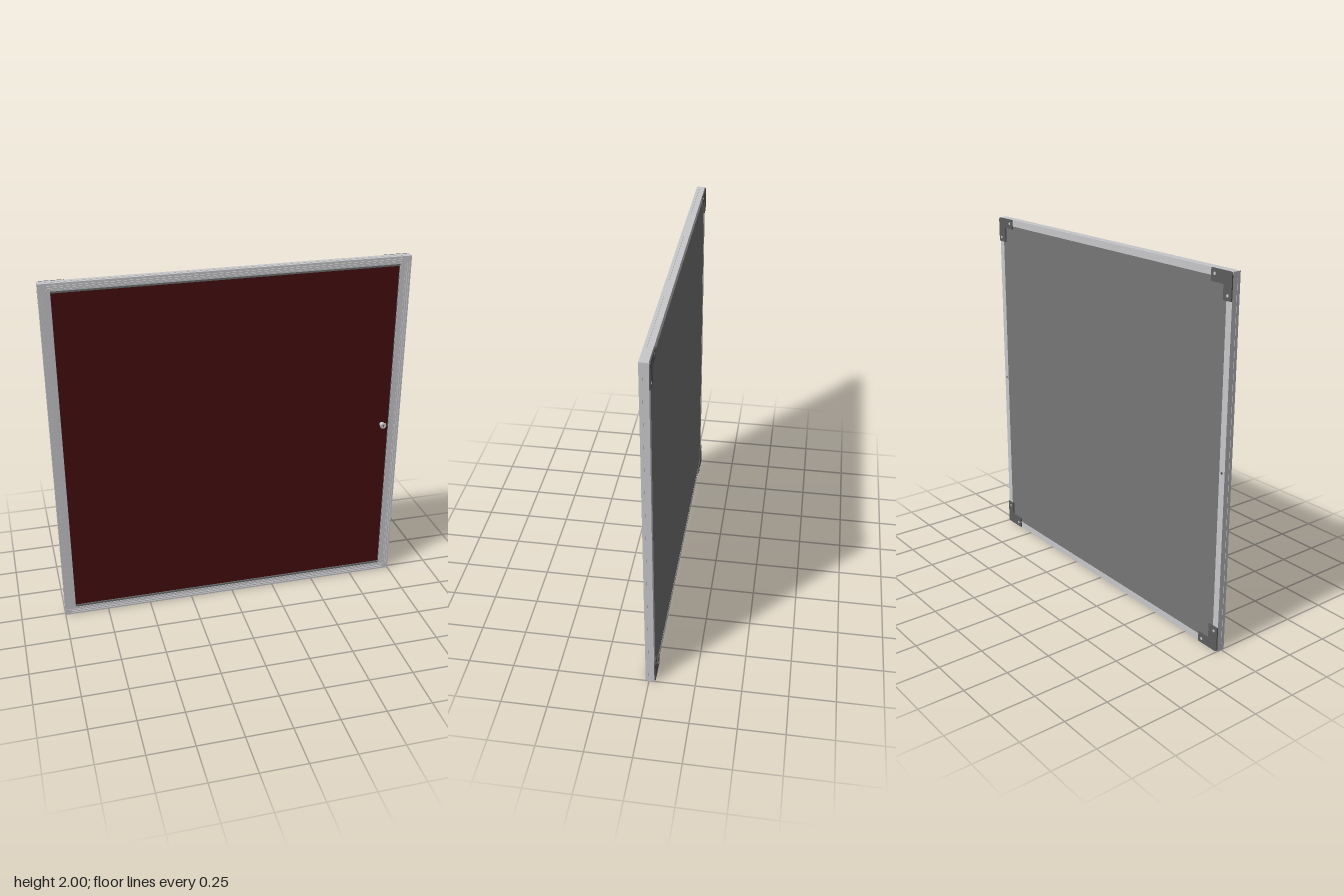
import * as THREE from 'three';

const material = (name, color) => {
  const m = new THREE.MeshStandardMaterial({ color });
  m.name = name;
  return m;
};

export function createModel() {
  const aluminium = material('aluminium', 0xc8c8cc);
  const felt = material('dark red felt', 0x460f0f);
  const backing = material('backing grey', 0x777777);
  const plastic = material('corner plastic', 0x5c5c5c);
  const seal = material('seal grey', 0x6a6e6e);

  const model = new THREE.Group();
  model.name = 'displayCase';
  const body = new THREE.Group(); // centred, so parts can repeat by quarter turns
  body.name = 'caseBody';
  body.position.y = 1;
  model.add(body);

  const add = (parent, name, geometry, mat, x = 0, y = 0, z = 0) => {
    const mesh = new THREE.Mesh(geometry, mat);
    mesh.name = name;
    mesh.position.set(x, y, z);
    parent.add(mesh);
    return mesh;
  };
  const polygon = pts => new THREE.Shape(pts.map(p => new THREE.Vector2(...p)));
  const extrude = (shape, depth) =>
    new THREE.ExtrudeGeometry(shape, { depth, bevelEnabled: false, curveSegments: 8 });
  const rectFrame = (w, h, innerW, innerH, depth) => {
    const rect = (a, b) => [[-a, -b], [a, -b], [a, b], [-a, b]];
    const shape = polygon(rect(w, h));
    shape.holes.push(polygon(rect(innerW, innerH)));
    return extrude(shape, depth);
  };
  const disc = (r, depth, sides = 20) =>
    new THREE.CylinderGeometry(r, r, depth, sides).rotateX(Math.PI / 2);

  // Grooved rail section: inward distance, depth
  const FRONT = 0.018, BACK = -0.029, CORNER = 0.035, LENGTH = 2 - 2 * CORNER;
  const railShape = polygon([
    [0, BACK], [0.038, BACK], [0.038, 0.013], [0.031, 0.013], [0.031, 0.016],
    [0.025, 0.016], [0.025, 0.012], [0.021, 0.012], [0.021, FRONT],
    [0.014, FRONT], [0.014, 0.013], [0.01, 0.013], [0.01, FRONT], [0, FRONT],
    [0, 0.001], [0.002, 0.001], [0.002, -0.002], [0, -0.002],
  ]);
  const railGeometry = extrude(railShape, LENGTH)
    .rotateX(Math.PI / 2).translate(-1, LENGTH / 2, 0);

  // L-shaped bracket for one corner, with its outer tip rounded
  const bracketShape = new THREE.Shape();
  bracketShape.moveTo(-0.985, -1);
  bracketShape.lineTo(-0.86, -1);
  bracketShape.lineTo(-0.86, -0.945);
  bracketShape.lineTo(-0.935, -0.945);
  bracketShape.lineTo(-0.935, -0.86);
  bracketShape.lineTo(-1, -0.86);
  bracketShape.lineTo(-1, -0.985);
  bracketShape.quadraticCurveTo(-1, -1, -0.985, -1);
  const bracketGeometry = extrude(bracketShape, 0.007);

  for (let i = 0; i < 4; i++) {
    const side = new THREE.Group();
    side.name = 'side' + (i + 1);
    side.rotation.z = i * Math.PI / 2;
    body.add(side);
    add(side, 'rail', railGeometry, aluminium);
    add(side, 'cornerBlock', new THREE.BoxGeometry(CORNER, CORNER, FRONT - BACK), aluminium,
      -1 + CORNER / 2, -1 + CORNER / 2, (FRONT + BACK) / 2);
    add(side, 'cornerBracket', bracketGeometry, plastic, 0, 0, -0.035);
    for (const [x, y] of [[-0.975, -0.885], [-0.885, -0.975]]) {
      add(side, 'bracketScrew', disc(0.008, 0.002, 12), aluminium, x, y, -0.0355);
    }
  }

  // Door frame and the seal along its top and bottom
  add(body, 'doorFrame', rectFrame(0.966, 0.966, 0.938, 0.957, 0.03), aluminium, 0, 0, -0.015);
  add(body, 'doorSeal', rectFrame(0.939, 0.959, 0.937, 0.946, 0.024), seal, 0, 0, -0.012);

  // Pin board and its back sheet
  add(body, 'pinBoard', new THREE.BoxGeometry(1.88, 1.9, 0.02), felt, 0, 0, -0.005);
  add(body, 'backSheet', new THREE.BoxGeometry(1.925, 1.925, 0.013), backing, 0, 0, -0.0215);

  // Wall fixing screws half way up the back
  for (const x of [-0.98, 0.98]) {
    add(body, 'railScrew', disc(0.007, 0.002, 12), plastic, x, 0, -0.0295);
  }

  // Lock: barrel, rim and key slot
  const lock = new THREE.Group();
  lock.name = 'lock';
  lock.position.set(0.9, 0, 0);
  body.add(lock);
  add(lock, 'lockBarrel', disc(0.014, 0.03), aluminium, 0, 0, 0.018);
  add(lock, 'lockRim', new THREE.TorusGeometry(0.015, 0.004, 8, 24), aluminium, 0, 0, 0.03);
  add(lock, 'keySlot', new THREE.BoxGeometry(0.004, 0.014, 0.002), plastic, 0, 0, 0.033);

  return model;
}
